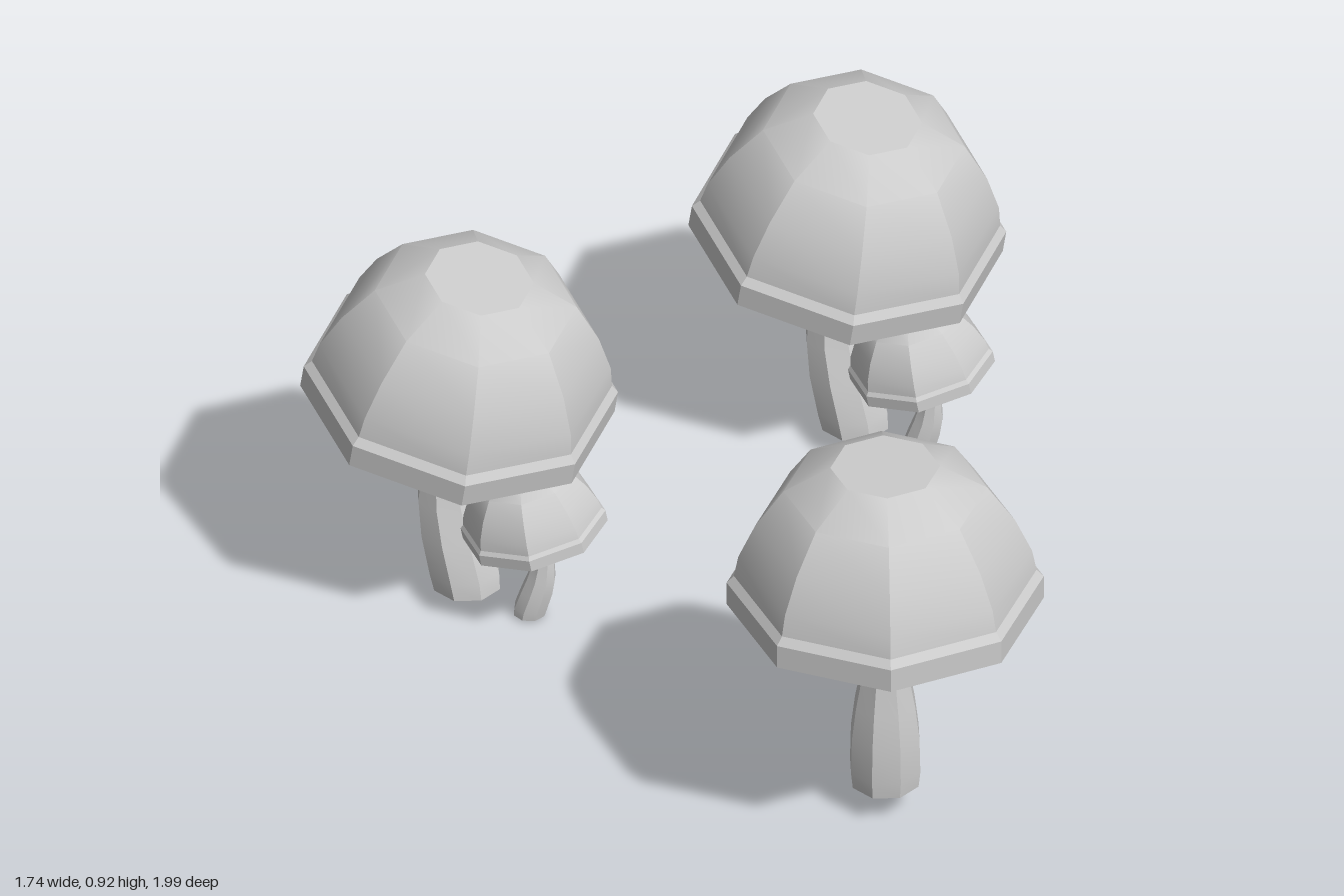
import * as THREE from 'three';
import { toCreasedNormals } from 'three/addons/utils/BufferGeometryUtils.js';

const material = new THREE.MeshStandardMaterial({ color: 0xcccccc });
const SIDES = 8;
const CAP_Y = 0.484;
const TILT = 0.185;
const CREASE = 0.45;

// Eight-sided turned part from [radius, height] pairs, turned so that corners or flats face front
function turned(name, pairs, phiStart = 0, bend = null) {
  const profile = pairs.map(([r, y]) => new THREE.Vector2(r, y));
  const geometry = new THREE.LatheGeometry(profile, SIDES, phiStart);
  if (bend) {
    const pos = geometry.attributes.position;
    for (let i = 0; i < pos.count; i++) {
      pos.setZ(i, pos.getZ(i) + bend[i % bend.length]);
    }
  }
  const mesh = new THREE.Mesh(toCreasedNormals(geometry, CREASE), material);
  mesh.name = name;
  return mesh;
}

// Hollow cap: ceiling, inner wall, rim band with a lip, rounded dome and flat crown
function makeCap() {
  return turned('cap', [
    [0, 0.085], [0.255, 0.085], [0.305, 0], [0.352, 0], [0.352, 0.058],
    [0.336, 0.076], [0.326, 0.128], [0.288, 0.212], [0.226, 0.302],
    [0.122, 0.363], [0, 0.363],
  ]);
}

// Ring where the stem meets the underside of the cap
function makeCollar() {
  return turned('collar', [[0, 0.012], [0.058, 0.012], [0.09, 0.035], [0.09, 0.095]]);
}

// Stem: each row is height, half width across flats, sideways bend
function makeStem(bent) {
  const rows = [
    [0, 0, 0.028], [0, 0.073, 0.028], [0.04, 0.077, 0.02], [0.13, 0.075, -0.008],
    [0.21, 0.066, -0.029], [0.31, 0.049, -0.041], [0.42, 0.038, -0.03],
    [0.49, 0.035, -0.008], [0.54, 0.035, 0.006],
  ];
  const widen = 1 / Math.cos(Math.PI / SIDES);
  const pairs = rows.map(([y, r]) => [r * widen, y]);
  const bend = bent ? rows.map((row) => row[2]) : null;
  return turned('stem', pairs, Math.PI / SIDES, bend);
}

function makeMushroom(name, [x, y, z], { bent = true, scale = 1, yaw = 0 } = {}) {
  const mushroom = new THREE.Group();
  mushroom.name = name;
  const head = new THREE.Group();
  head.name = 'head';
  head.add(makeCap(), makeCollar());
  head.position.y = CAP_Y;
  if (bent) head.rotation.x = TILT;
  mushroom.add(makeStem(bent), head);
  mushroom.position.set(x, y, z);
  mushroom.rotation.y = yaw;
  mushroom.scale.setScalar(scale);
  return mushroom;
}

export function createModel() {
  const model = new THREE.Group();
  model.name = 'mushrooms';
  const small = { scale: 0.465, yaw: THREE.MathUtils.degToRad(220) };
  model.add(
    makeMushroom('straightMushroom', [-0.52, 0.072, 0.645], { bent: false }),
    makeMushroom('rightBentMushroom', [-0.52, 0, -0.652]),
    makeMushroom('rightSmallMushroom', [-0.507, 0.005, -0.428], small),
    makeMushroom('leftBentMushroom', [0.52, 0, -0.444]),
    makeMushroom('leftSmallMushroom', [0.528, 0.005, -0.218], small),
  );
  return model;
}
